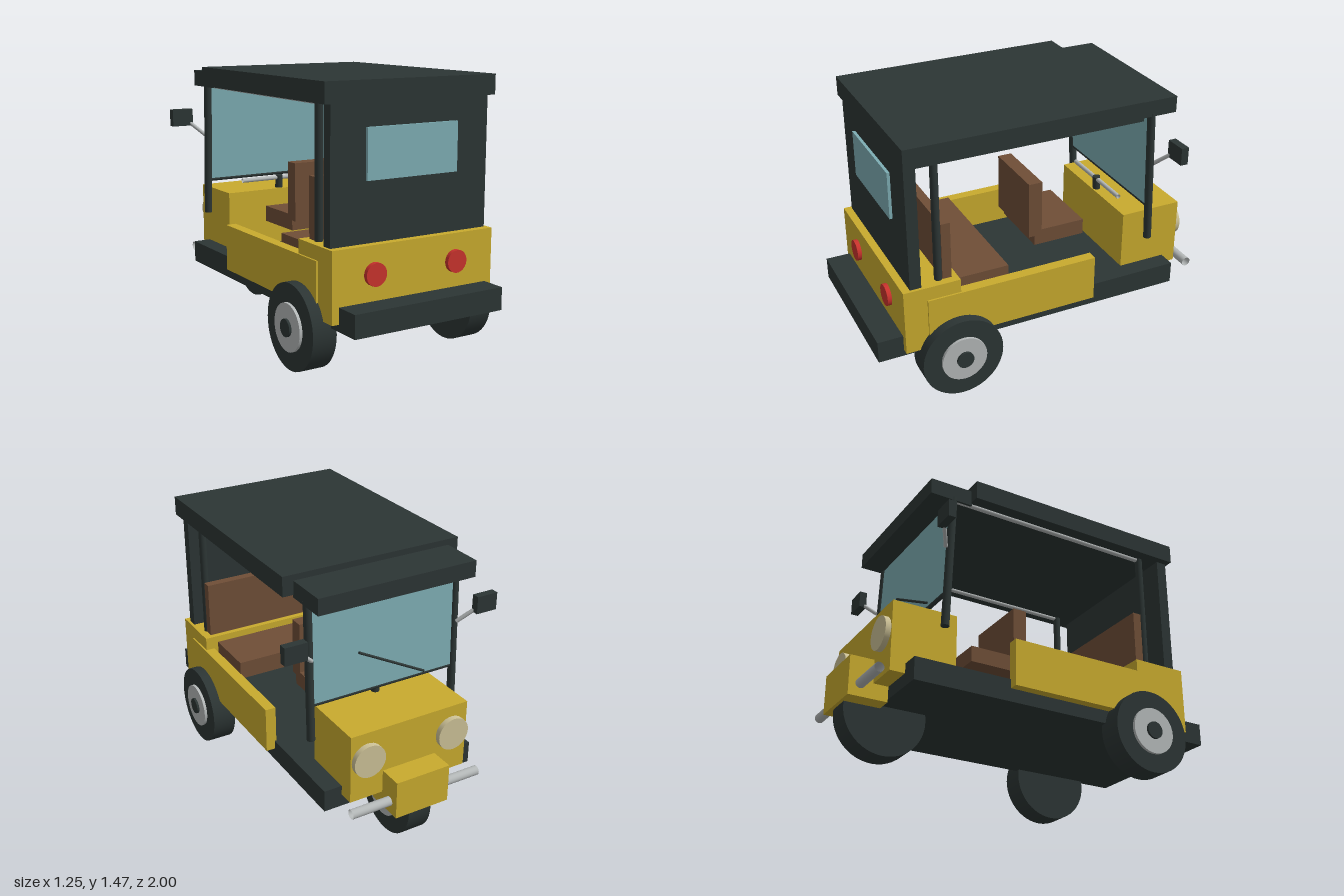
import * as THREE from 'three';

const mat = (name, color, side = THREE.FrontSide) => {
  const m = new THREE.MeshStandardMaterial({ color, side });
  m.name = name;
  return m;
};

export function createModel() {
  const yellow = mat('yellow paint', 0xc9ab2e);
  const black = mat('charcoal', 0x2c3534);
  const brown = mat('brown leather', 0x6f4e37);
  const silver = mat('silver metal', 0xb4b8b8, THREE.DoubleSide);
  const glass = mat('tinted glass', 0x7eaeb4);
  const red = mat('red lamp', 0xc9332d);
  const cream = mat('cream lamp', 0xcdc297);

  const model = new THREE.Group();
  model.name = 'threeWheeler';

  const add = (name, geometry, material) => {
    const mesh = new THREE.Mesh(geometry, material);
    mesh.name = name;
    model.add(mesh);
    return mesh;
  };
  // Box given by its limits on each axis
  const box = (name, material, [x0, x1], [y0, y1], [z0, z1]) => {
    const mesh = add(name, new THREE.BoxGeometry(x1 - x0, y1 - y0, z1 - z0), material);
    mesh.position.set((x0 + x1) / 2, (y0 + y1) / 2, (z0 + z1) / 2);
    return mesh;
  };
  // Round bar between two points
  const rod = (name, material, a, b, r, open = false, sides = 32) => {
    const from = new THREE.Vector3(...a), to = new THREE.Vector3(...b);
    const dir = to.clone().sub(from);
    const mesh = add(name, new THREE.CylinderGeometry(r, r, dir.length(), sides, 1, open), material);
    mesh.position.copy(from).add(to).multiplyScalar(0.5);
    mesh.quaternion.setFromUnitVectors(new THREE.Vector3(0, 1, 0), dir.normalize());
    return mesh;
  };

  // Chassis and bodywork
  box('chassis', black, [-0.455, 0.455], [0.265, 0.388], [-0.785, 1]);
  box('rearBody', yellow, [-0.495, 0.495], [0.302, 0.672], [0.545, 0.86]);
  box('hood', yellow, [-0.353, 0.353], [0.335, 0.722], [-0.868, -0.505]);
  box('nose', yellow, [-0.16, 0.16], [0.25, 0.465], [-1, -0.785]);

  // Roof, visor and rear wall
  box('roof', black, [-0.517, 0.517], [1.365, 1.472], [-0.49, 0.83]);
  box('visor', black, [-0.457, 0.457], [1.35, 1.44], [-0.73, -0.485]);
  box('rearWall', black, [-0.478, 0.478], [0.67, 1.37], [0.755, 0.817]);
  box('rearWindow', glass, [-0.275, 0.275], [0.985, 1.245], [0.81, 0.833]);

  // Seats
  box('rearSeatCushion', brown, [-0.42, 0.42], [0.53, 0.633], [0.24, 0.6]);
  box('rearSeatBack', brown, [-0.45, 0.45], [0.55, 0.992], [0.577, 0.628]);
  box('driverSeatCushion', brown, [-0.2, 0.2], [0.57, 0.66], [-0.333, -0.025]);
  box('driverSeatBack', brown, [-0.2, 0.2], [0.627, 0.957], [-0.07, 0.01]);

  // Windscreen leaning with its pillars, sill and wiper
  const screenZ = (y) => -0.617 + (y - 0.6) * 0.037;
  const tilt = Math.atan(0.037);
  const screen = box('windscreen', glass, [-0.425, 0.425], [0.8, 1.36], [-0.01, 0.01]);
  screen.position.z = screenZ(1.08);
  screen.rotation.x = tilt;
  rod('windscreenSill', black, [-0.44, 0.8, screenZ(0.8)], [0.44, 0.8, screenZ(0.8)], 0.012);
  rod('wiper', black, [0.16, 1.03, screenZ(1.03) - 0.02], [-0.24, 0.82, screenZ(0.82) - 0.02], 0.007);

  // Steering column and handlebar
  rod('steeringColumn', black, [0, 0.69, -0.535], [0, 0.8, -0.53], 0.022);
  rod('handlebar', silver, [-0.25, 0.785, -0.53], [0.25, 0.785, -0.53], 0.013, true);

  // Front bumper bar
  rod('bumperBar', silver, [-0.39, 0.32, -0.937], [0.39, 0.32, -0.937], 0.026, true);

  // Wheel with the hub on the given side
  const wheel = (name, x, z, side) => {
    const y = 0.228;
    rod(name + 'Tyre', black, [x - 0.068, y, z], [x + 0.068, y, z], 0.228, false, 48);
    rod(name + 'Rim', silver, [x, y, z], [x + side * 0.084, y, z], 0.127, false, 40);
    rod(name + 'Cap', black, [x, y, z], [x + side * 0.097, y, z], 0.047);
  };
  wheel('frontWheel', 0, -0.755, 1);

  // Mirrored parts
  for (const s of [-1, 1]) {
    const label = s > 0 ? 'left' : 'right';
    wheel(label + 'RearWheel', s * 0.493, 0.567, s);
    box(label + 'SidePanel', yellow, s > 0 ? [0.445, 0.505] : [-0.505, -0.445], [0.338, 0.597], [-0.242, 0.732]);
    rod(label + 'RearPillar', black, [s * 0.437, 0.66, 0.648], [s * 0.437, 1.37, 0.648], 0.021);
    rod(label + 'FrontPillar', black, [s * 0.437, 0.6, screenZ(0.6)], [s * 0.437, 1.37, screenZ(1.37)], 0.022);
    rod(label + 'RoofRail', silver, [s * 0.437, 1.36, 0.648], [s * 0.437, 1.36, -0.59], 0.013);
    rod(label + 'Headlight', cream, [s * 0.255, 0.568, -0.86], [s * 0.255, 0.568, -0.898], 0.092);
    rod(label + 'TailLight', red, [s * 0.25, 0.527, 0.85], [s * 0.25, 0.527, 0.884], 0.06);
    rod(label + 'MirrorArm', silver, [s * 0.437, 1.06, -0.625], [s * 0.53, 1.15, -0.687], 0.011);
    box(label + 'Mirror', black, s > 0 ? [0.502, 0.627] : [-0.627, -0.502], [1.12, 1.217], [-0.71, -0.667]);
  }
  return model;
}
